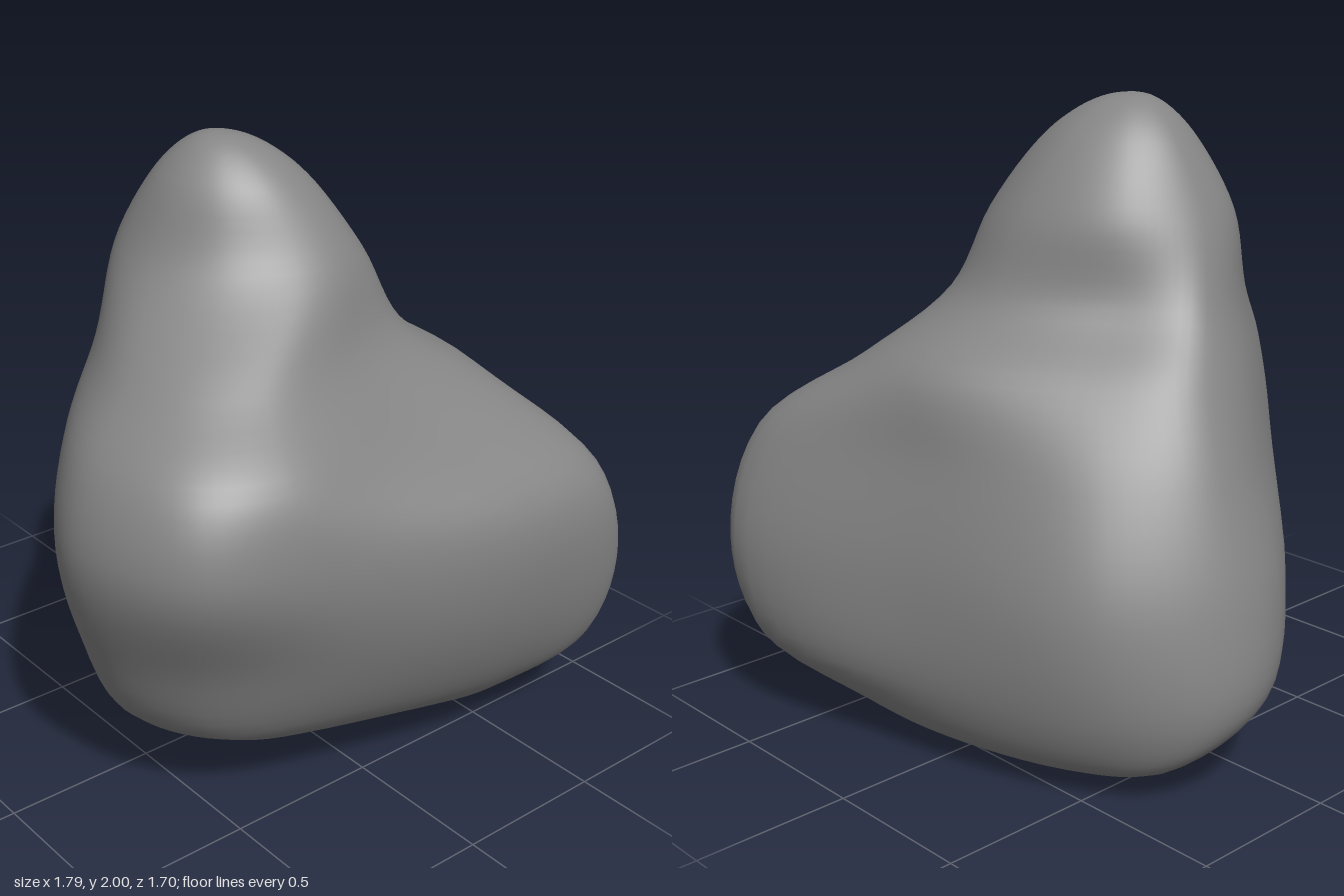
import * as THREE from 'three';

// Horizontal cross-sections, [x, z] pairs in the same order at every height:
// front corner, east face, back lobe (3), side lobe (3), front face, corner front
const sections = [
  { y: 0.1, ring: [[.62, .46], [.66, .1], [.51, -.48], [.34, -.68], [.14, -.61], [.02, -.12], [0, .1], [.08, .3], [.25, .43], [.46, .52]] },
  { y: 0.28, ring: [[.82, .67], [.74, .05], [.53, -.61], [.26, -.83], [0, -.79], [-.5, -.14], [-.63, .14], [-.5, .41], [-.1, .58], [.48, .7]] },
  { y: 0.6, ring: [[.875, .74], [.74, .05], [.55, -.59], [.2, -.82], [-.07, -.77], [-.64, -.16], [-.8, .2], [-.65, .5], [-.12, .74], [.46, .82]] },
  { y: 0.95, ring: [[.77, .71], [.66, .04], [.46, -.49], [.17, -.7], [-.1, -.64], [-.7, -.13], [-.89, .24], [-.74, .62], [-.3, .76], [.36, .82]] },
  { y: 1.2, ring: [[.55, .43], [.61, .08], [.35, -.37], [.11, -.58], [-.15, -.54], [-.65, -.13], [-.82, .21], [-.71, .55], [-.42, .68], [.13, .57]] },
  { y: 1.4, ring: [[.3, .3], [.36, .07], [.18, -.29], [0, -.48], [-.22, -.44], [-.51, -.18], [-.63, .13], [-.54, .37], [-.34, .48], [.03, .41]] },
  { y: 1.65, ring: [[.19, .23], [.25, .02], [.13, -.26], [-.08, -.39], [-.27, -.36], [-.39, -.23], [-.41, -.03], [-.3, .17], [-.11, .29], [.07, .3]] },
];

// A smaller copy of a section, drawn in towards a pole
const shrink = (ring, [px, pz], k) => ring.map(([x, z]) => [px + (x - px) * k, pz + (z - pz) * k]);

function rockGeometry(rows, cols) {
  const base = [0.42, 0.13], peak = [-0.13, -0.07];
  const first = sections[0].ring, last = sections[sections.length - 1].ring;
  const levels = [
    // Rounded underside
    ...[0, 0.22, 0.55].map((k) => ({ y: 0.12 * k * k, ring: shrink(first, base, k) })),
    ...sections,
    // Rounded peak
    ...[0.63, 0.38, 0.18, 0].map((k) => ({ y: 2 - 0.34 * k * k, ring: shrink(last, peak, k) })),
  ];

  // One curve up the rock for each section point
  const tracks = first.map((_, i) => new THREE.CatmullRomCurve3(
    levels.map(({ y, ring }) => new THREE.Vector3(ring[i][0], y, ring[i][1]))));

  // Closed loops around the rock, skinned together
  const positions = [], indices = [];
  for (let r = 0; r <= rows; r++) {
    const t = r / rows;
    const loop = new THREE.CatmullRomCurve3(tracks.map((c) => c.getPoint(t)), true);
    for (let c = 0; c < cols; c++) {
      const p = r === 0 || r === rows ? tracks[0].getPoint(t) : loop.getPoint(c / cols);
      positions.push(p.x, Math.min(2, Math.max(0, p.y)), p.z);
    }
  }
  for (let r = 0; r < rows; r++) {
    for (let c = 0; c < cols; c++) {
      const a = r * cols + c, b = r * cols + (c + 1) % cols;
      if (r > 0) indices.push(a, b, b + cols);
      if (r < rows - 1) indices.push(a, b + cols, a + cols);
    }
  }
  const geometry = new THREE.BufferGeometry();
  geometry.setAttribute('position', new THREE.Float32BufferAttribute(positions, 3));
  geometry.setIndex(indices);
  geometry.computeVertexNormals();
  return geometry;
}

export function createModel() {
  const group = new THREE.Group();
  const rock = new THREE.Mesh(
    rockGeometry(78, 80),
    new THREE.MeshStandardMaterial({ color: 0x858585 }),
  );
  rock.name = 'rock';
  group.add(rock);
  return group;
}
